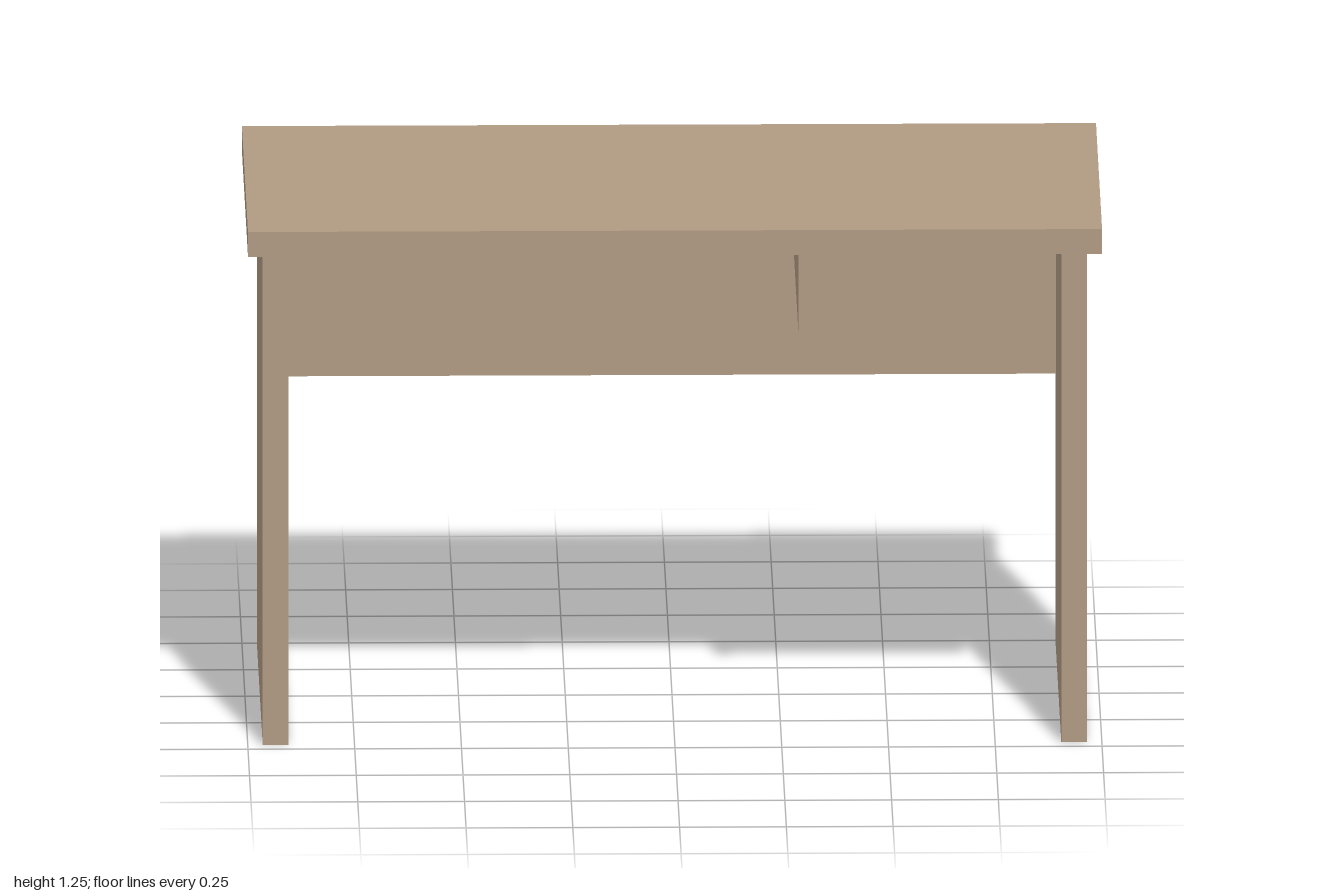
import * as THREE from 'three';

export function createModel() {
  const desk = new THREE.Group();
  desk.name = 'desk';
  const wood = new THREE.MeshStandardMaterial({ color: 0xb09a82 });
  wood.name = 'lightWood';

  // A board given by its [min, max] extent along each axis
  const board = (name, [x0, x1], [y0, y1], [z0, z1]) => {
    const mesh = new THREE.Mesh(new THREE.BoxGeometry(x1 - x0, y1 - y0, z1 - z0), wood);
    mesh.position.set((x0 + x1) / 2, (y0 + y1) / 2, (z0 + z1) / 2);
    mesh.name = name;
    desk.add(mesh);
  };

  // Table top
  board('tableTop', [-1, 1], [1.19, 1.25], [-0.5, 0.5]);

  // Slab legs at both ends
  board('leftLeg', [0.905, 0.965], [0, 1.19], [-0.46, 0.46]);
  board('rightLeg', [-0.965, -0.905], [0, 1.19], [-0.46, 0.46]);

  // Thin panel joining the legs at the back
  board('backPanel', [-0.905, 0.905], [0.675, 1.085], [-0.412, -0.382]);

  // Drawer box hung under the top
  board('drawer', [0.29, 0.872], [0.982, 1.19], [-0.412, 0.412]);

  return desk;
}
